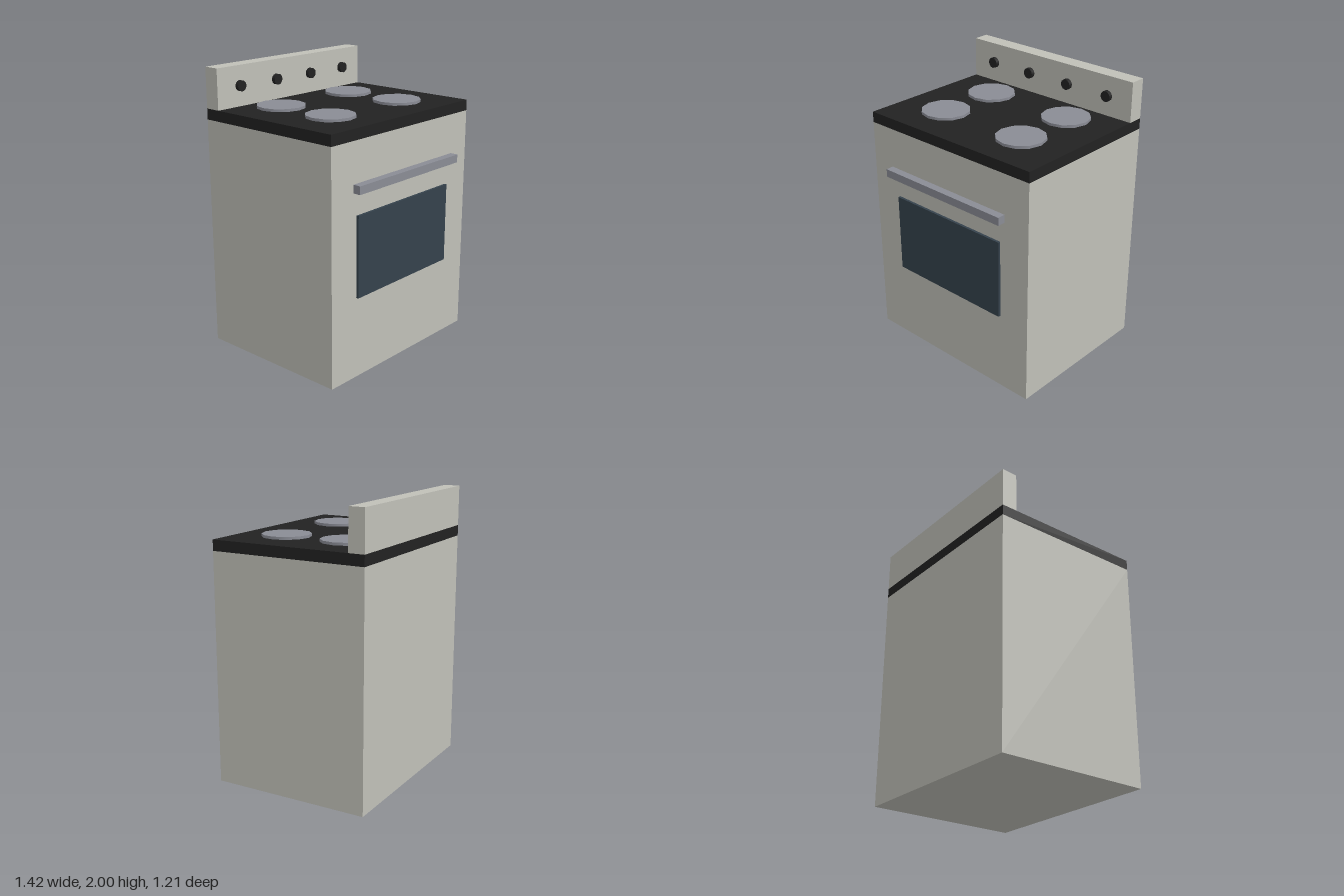
import * as THREE from 'three';

const mat = (name, color) => {
  const m = new THREE.MeshStandardMaterial({ color });
  m.name = name;
  return m;
};

export function createModel() {
  const enamel = mat('enamel', 0xc0c0b8);
  const black = mat('black', 0x222222);
  const metal = mat('metal', 0x8a8c95);
  const glass = mat('glass', 0x35424c);

  const stove = new THREE.Group();
  stove.name = 'stove';

  const add = (name, geometry, material, x, y, z) => {
    const mesh = new THREE.Mesh(geometry, material);
    mesh.name = name;
    mesh.position.set(x, y, z);
    stove.add(mesh);
    return mesh;
  };
  // Box given by its minimum and maximum in y and z, centred on x
  const box = (name, material, width, y0, y1, z0, z1) =>
    add(name, new THREE.BoxGeometry(width, y1 - y0, z1 - z0), material, 0, (y0 + y1) / 2, (z0 + z1) / 2);

  const W = 1.423, back = -0.604, front = 0.535;

  // Cabinet, cooktop and rear control panel
  box('body', enamel, W, 0, 1.64, back, front);
  box('cooktop', black, W, 1.64, 1.716, back, front);
  box('controlPanel', enamel, W, 1.716, 2, back, -0.49);

  // Oven door window and handle bar
  box('ovenWindow', glass, 0.949, 0.577, 1.146, front, 0.553);
  box('ovenHandle', metal, 1.043, 1.307, 1.364, 0.547, 0.604);

  // Four burner plates
  const burner = new THREE.CylinderGeometry(0.171, 0.171, 0.019, 12);
  for (const x of [-0.343, 0.343])
    for (const z of [-0.264, 0.193])
      add('burner', burner, metal, x, 1.7255, z);

  // Row of control knobs facing forward
  const knob = new THREE.CylinderGeometry(0.038, 0.038, 0.028, 12).rotateX(Math.PI / 2);
  for (const x of [-0.514, -0.171, 0.171, 0.514])
    add('knob', knob, black, x, 1.86, -0.476);

  return stove;
}
